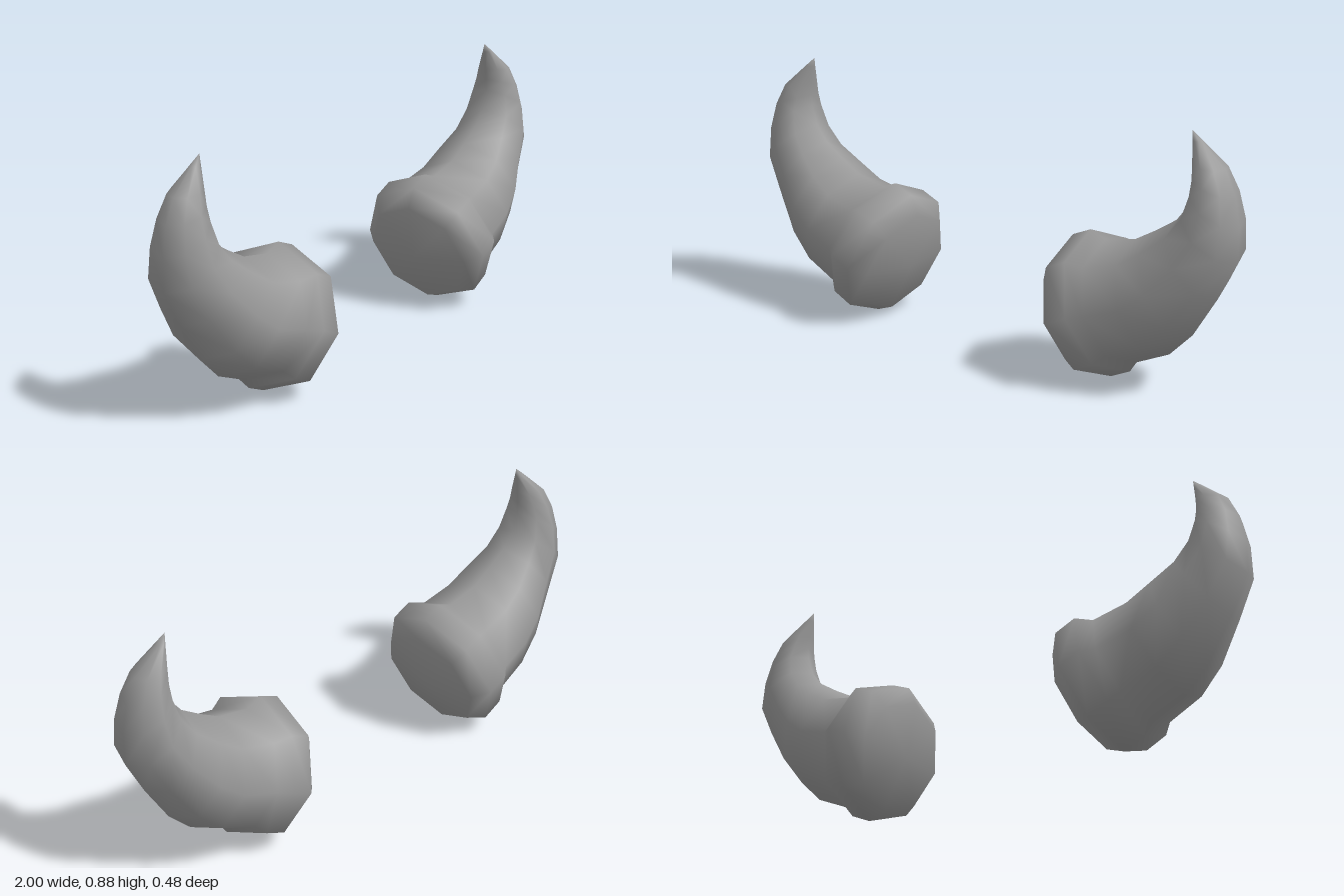
import * as THREE from 'three';

const SIDES = 8;

// Each ring is the inner (upper) and outer (lower) end of a round section: [xi, yi, xo, yo]
const RINGS = [
  [0.326, 0.388, 0.455, 0.024], // base bevel
  [0.357, 0.456, 0.522, 0], // collar
  [0.43, 0.487, 0.598, 0.035],
  [0.49, 0.465, 0.624, 0.073], // root of the horn
  [0.61, 0.49, 0.752, 0.131],
  [0.69, 0.535, 0.84, 0.217],
  [0.765, 0.583, 0.93, 0.358],
  [0.81, 0.638, 0.999, 0.487],
  [0.832, 0.706, 1, 0.6],
  [0.833, 0.745, 0.981, 0.697],
  [0.829, 0.786, 0.943, 0.775],
  [0.82, 0.852, 0.854, 0.851], // just below the point
];
const BASE = [0.362, 0.195, 0]; // middle of the slightly domed base
const TIP = [0.816, 0.882, 0];

// Lofts one horn; side is +1 for the left, -1 for the right
function hornGeometry(side) {
  const points = [];
  const index = [];
  const add = (x, y, z) => points.push(side * x, y, z);
  const tri = (a, b, c) => (side > 0 ? index.push(a, b, c) : index.push(a, c, b));

  for (const [xi, yi, xo, yo] of RINGS) {
    const cx = (xi + xo) / 2, cy = (yi + yo) / 2;
    const radius = Math.hypot(xi - xo, yi - yo) / 2;
    for (let j = 0; j < SIDES; j++) {
      const t = (j / SIDES) * Math.PI * 2;
      add(cx + (xi - cx) * Math.cos(t), cy + (yi - cy) * Math.cos(t), radius * Math.sin(t));
    }
  }
  const last = (RINGS.length - 1) * SIDES;
  const base = RINGS.length * SIDES;
  const tip = base + 1;
  add(...BASE);
  add(...TIP);

  for (let j = 0; j < SIDES; j++) {
    const k = (j + 1) % SIDES;
    tri(base, k, j);
    for (let r = 0; r < last; r += SIDES) {
      tri(r + j, r + k, r + SIDES + k);
      tri(r + j, r + SIDES + k, r + SIDES + j);
    }
    tri(last + j, last + k, tip);
  }

  const geometry = new THREE.BufferGeometry();
  geometry.setAttribute('position', new THREE.Float32BufferAttribute(points, 3));
  geometry.setIndex(index);
  geometry.computeVertexNormals();
  return geometry;
}

export function createModel() {
  const group = new THREE.Group();
  group.name = 'horns';
  const material = new THREE.MeshStandardMaterial({ color: 0x999999 });
  for (const side of [1, -1]) {
    const horn = new THREE.Mesh(hornGeometry(side), material);
    horn.name = side > 0 ? 'leftHorn' : 'rightHorn';
    group.add(horn);
  }
  return group;
}
